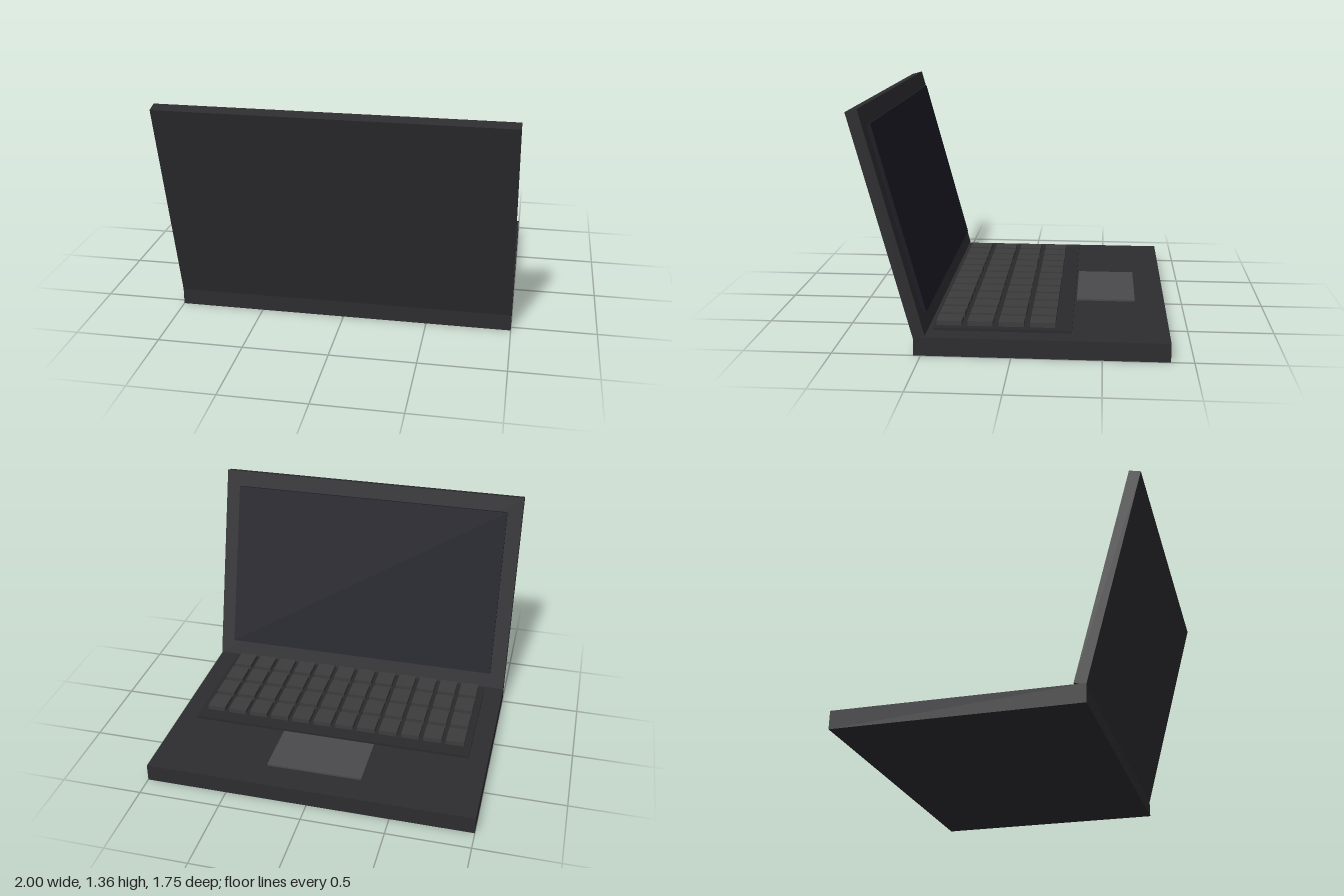
import * as THREE from 'three';

const paint = (color) => new THREE.MeshStandardMaterial({ color });
const shell = paint(0x2d2d30);
const deck = paint(0x2a2a2d);
const keyCap = paint(0x3c3c3d);
const pad = paint(0x4a4a4d);
const glass = paint(0x1a1a24);

// Box given by its [min, max] range on each axis
function block(name, [x0, x1], [y0, y1], [z0, z1], material) {
  const mesh = new THREE.Mesh(new THREE.BoxGeometry(x1 - x0, y1 - y0, z1 - z0), material);
  mesh.position.set((x0 + x1) / 2, (y0 + y1) / 2, (z0 + z1) / 2);
  mesh.name = name;
  return mesh;
}

export function createModel() {
  const laptop = new THREE.Group();
  laptop.name = 'laptop';

  // Lower body with its raised keyboard plate and touchpad
  laptop.add(
    block('base', [-1, 1], [0, 0.107], [-0.872, 0.54], shell),
    block('keyboardPlate', [-0.88, 0.88], [0.1, 0.122], [-0.33, 0.448], deck),
    block('touchpad', [-0.292, 0.292], [0.1, 0.118], [-0.694, -0.342], pad)
  );

  // Keys: 4 rows of 12
  const keys = new THREE.Group();
  keys.name = 'keys';
  const keyGeometry = new THREE.BoxGeometry(0.114, 0.034, 0.143);
  for (let row = 0; row < 4; row++) {
    for (let col = 0; col < 12; col++) {
      const key = new THREE.Mesh(keyGeometry, keyCap);
      key.name = 'key';
      key.position.set((col - 5.5) * 0.142, 0.133, 0.099 + (row - 1.5) * 0.176);
      keys.add(key);
    }
  }
  laptop.add(keys);

  // Lid tilted back from its lower inner edge, screen facing -z
  const lid = new THREE.Group();
  lid.name = 'lid';
  lid.add(
    block('lidPanel', [-1, 1], [0, 1.293], [0, 0.068], shell),
    block('screen', [-0.904, 0.904], [0.103, 1.193], [-0.023, 0.01], glass)
  );
  lid.position.set(0, 0.115, 0.474);
  lid.rotation.x = THREE.MathUtils.degToRad(15);
  laptop.add(lid);

  return laptop;
}
